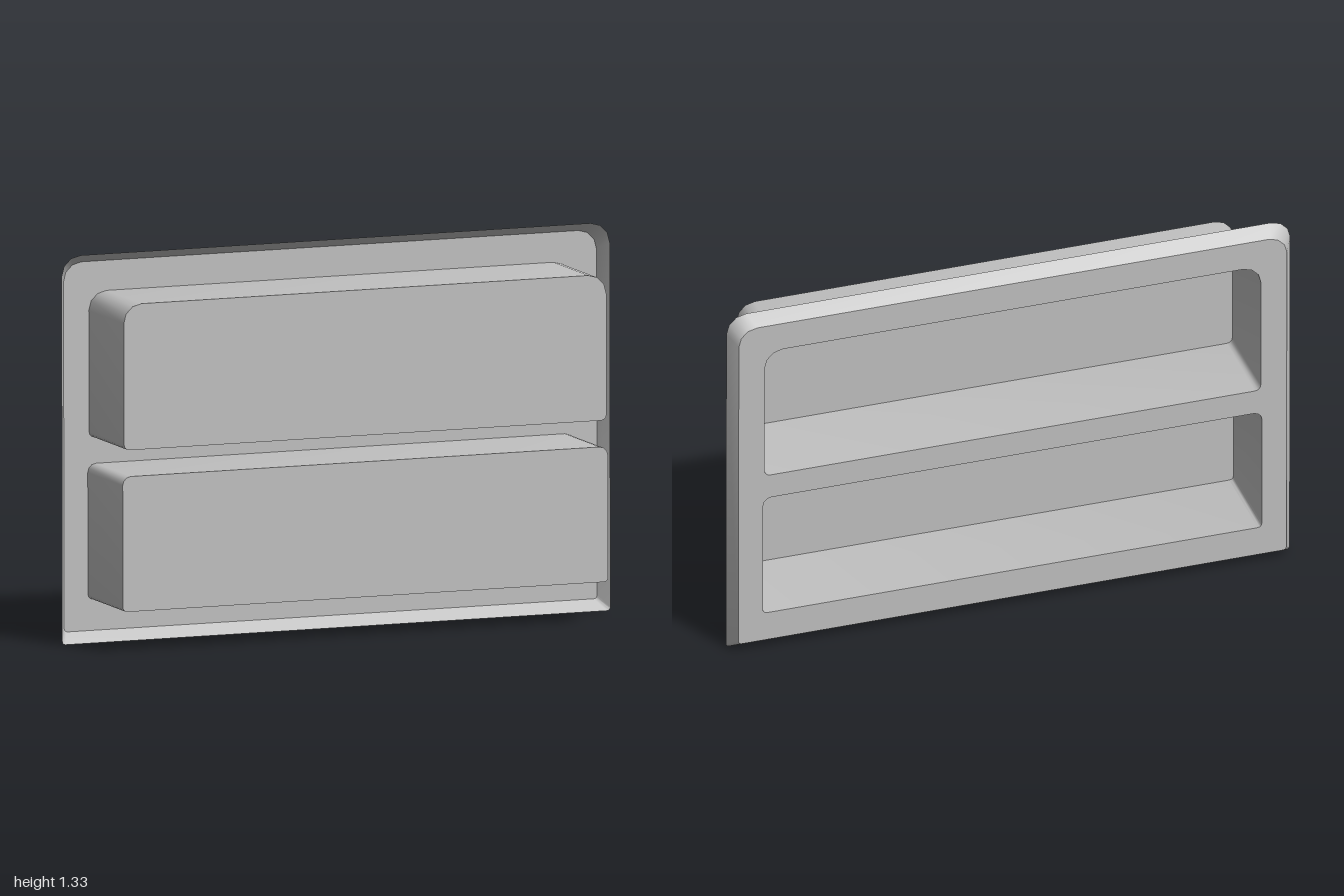
import * as THREE from 'three';
import { toCreasedNormals } from 'three/addons/utils/BufferGeometryUtils.js';

// The whole tray leans back very slightly
const lean = new THREE.Matrix4().set(
  1, 0, 0, 0,
  0, 1, 0, 0,
  0, -0.0055, 1, 0.0036,
  0, 0, 0, 1);

const BACK = -0.156, RIM = -0.105, FRONT = 0.157;

// Counter-clockwise rounded rectangle, with separate bottom and top corner radii
function outline(halfWidth, y0, y1, rBottom, rTop, steps = 3) {
  const corners = [
    [halfWidth - rBottom, y0 + rBottom, rBottom, -0.5],
    [halfWidth - rTop, y1 - rTop, rTop, 0],
    [-halfWidth + rTop, y1 - rTop, rTop, 0.5],
    [-halfWidth + rBottom, y0 + rBottom, rBottom, 1],
  ];
  const points = [];
  for (const [cx, cy, r, turn] of corners) {
    for (let i = 0; i <= steps; i++) {
      const a = (turn + 0.5 * i / steps) * Math.PI;
      points.push(new THREE.Vector2(cx + r * Math.cos(a), cy + r * Math.sin(a)));
    }
  }
  return points;
}

// Open wall joining two matching outlines at different depths
function wall(a, za, b, zb) {
  const pos = [], n = a.length;
  for (let i = 0; i < n; i++) {
    const j = (i + 1) % n;
    const a0 = [a[i].x, a[i].y, za], a1 = [a[j].x, a[j].y, za];
    const b0 = [b[i].x, b[i].y, zb], b1 = [b[j].x, b[j].y, zb];
    pos.push(...a0, ...a1, ...b1, ...a0, ...b1, ...b0);
  }
  const geometry = new THREE.BufferGeometry();
  geometry.setAttribute('position', new THREE.Float32BufferAttribute(pos, 3));
  return toCreasedNormals(geometry, 0.65);
}

export function createModel() {
  const model = new THREE.Group();
  model.name = 'doubleTray';
  const grey = new THREE.MeshStandardMaterial({ color: 0xc0c0c0, side: THREE.DoubleSide });
  grey.name = 'grey';

  function add(parent, name, geometry) {
    const mesh = new THREE.Mesh(geometry.applyMatrix4(lean), grey);
    mesh.name = name;
    parent.add(mesh);
  }

  const pockets = {
    upperPocket: outline(0.88, 0.695, 1.193, 0.02, 0.065),
    lowerPocket: outline(0.885, 0.143, 0.605, 0.015, 0.03),
  };
  const plateEdge = outline(0.972, 0.035, 1.296, 0.012, 0.065);
  const rimEdge = outline(1, 0, 1.327, 0.012, 0.07);

  // Back plate with the two pocket openings
  const plate = new THREE.Shape(plateEdge);
  for (const edge of Object.values(pockets)) plate.holes.push(new THREE.Path(edge));
  add(model, 'backPlate', new THREE.ShapeGeometry(plate).translate(0, 0, BACK));

  // Flared rim around the plate
  add(model, 'rim', wall(plateEdge, BACK, rimEdge, RIM));

  // Pockets, hollow from the back and closed at the front
  for (const [name, edge] of Object.entries(pockets)) {
    const pocket = new THREE.Group();
    pocket.name = name;
    add(pocket, name + 'Walls', wall(edge, BACK, edge, FRONT));
    add(pocket, name + 'Front', new THREE.ShapeGeometry(new THREE.Shape(edge)).translate(0, 0, FRONT));
    model.add(pocket);
  }
  return model;
}
